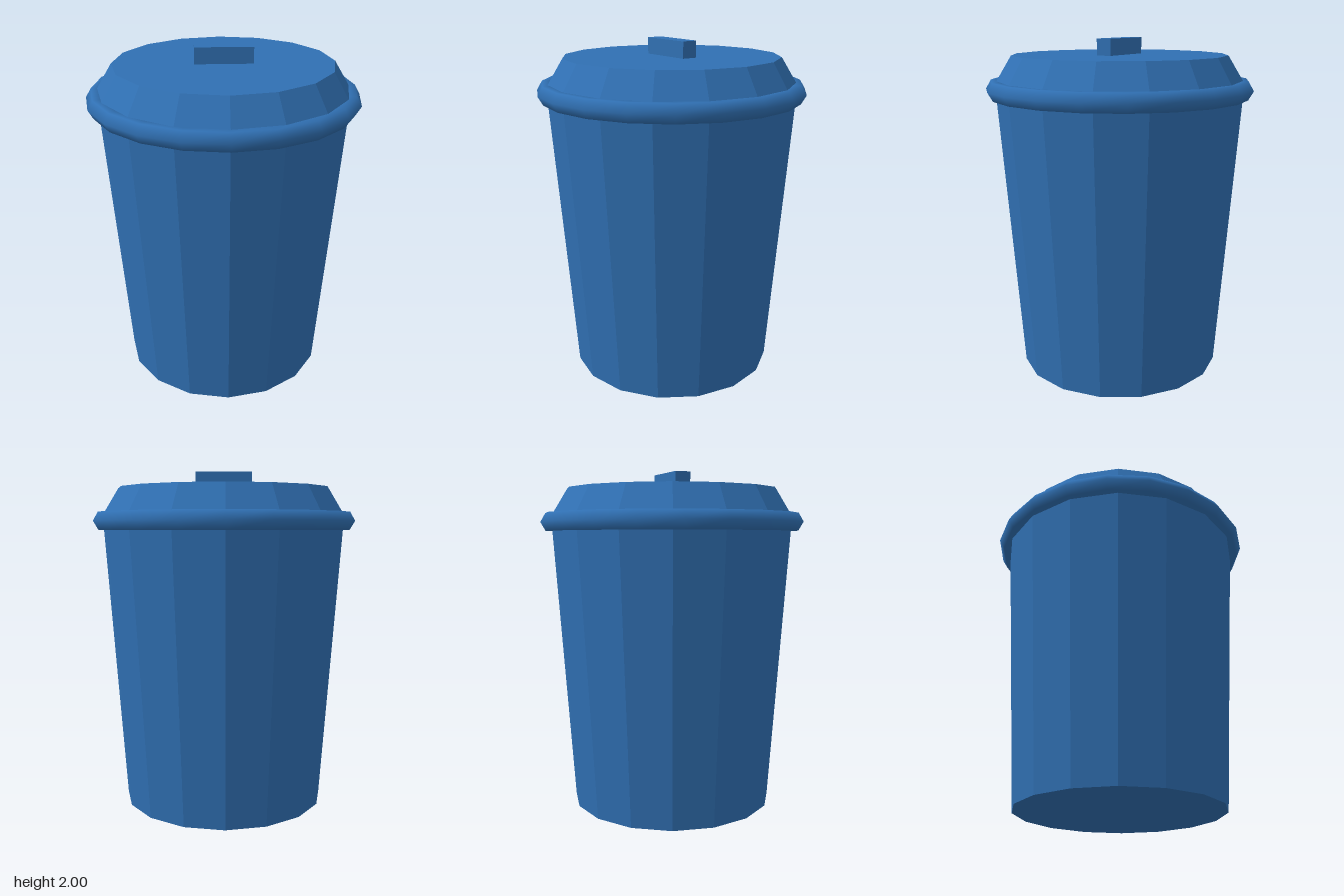
import * as THREE from 'three';

export function createModel() {
  const group = new THREE.Group();
  const color = 0x3070b3;
  const flat = new THREE.MeshStandardMaterial({ color, flatShading: true });
  const smooth = new THREE.MeshStandardMaterial({ color });

  const add = (name, geometry, material, y) => {
    const mesh = new THREE.Mesh(geometry, material);
    mesh.name = name;
    mesh.position.y = y;
    group.add(mesh);
    return mesh;
  };

  const rimY = 1.71, lidTop = 1.905, sides = 16;

  // Tapered bin body
  add('body', new THREE.CylinderGeometry(0.73, 0.61, rimY, sides), flat, rimY / 2);

  // Sloped lid with a flat top
  const lidHeight = lidTop - rimY;
  add('lid', new THREE.CylinderGeometry(0.635, 0.755, lidHeight, sides), flat, rimY + lidHeight / 2);

  // Rounded rim covering the seam
  const rim = add('rim', new THREE.TorusGeometry(0.73, 0.06, 6, 20), smooth, rimY);
  rim.rotation.x = Math.PI / 2;

  // Bar handle on the lid
  const handleHeight = 2 - lidTop;
  add('handle', new THREE.BoxGeometry(0.335, handleHeight, 0.093), flat, lidTop + handleHeight / 2);

  return group;
}
